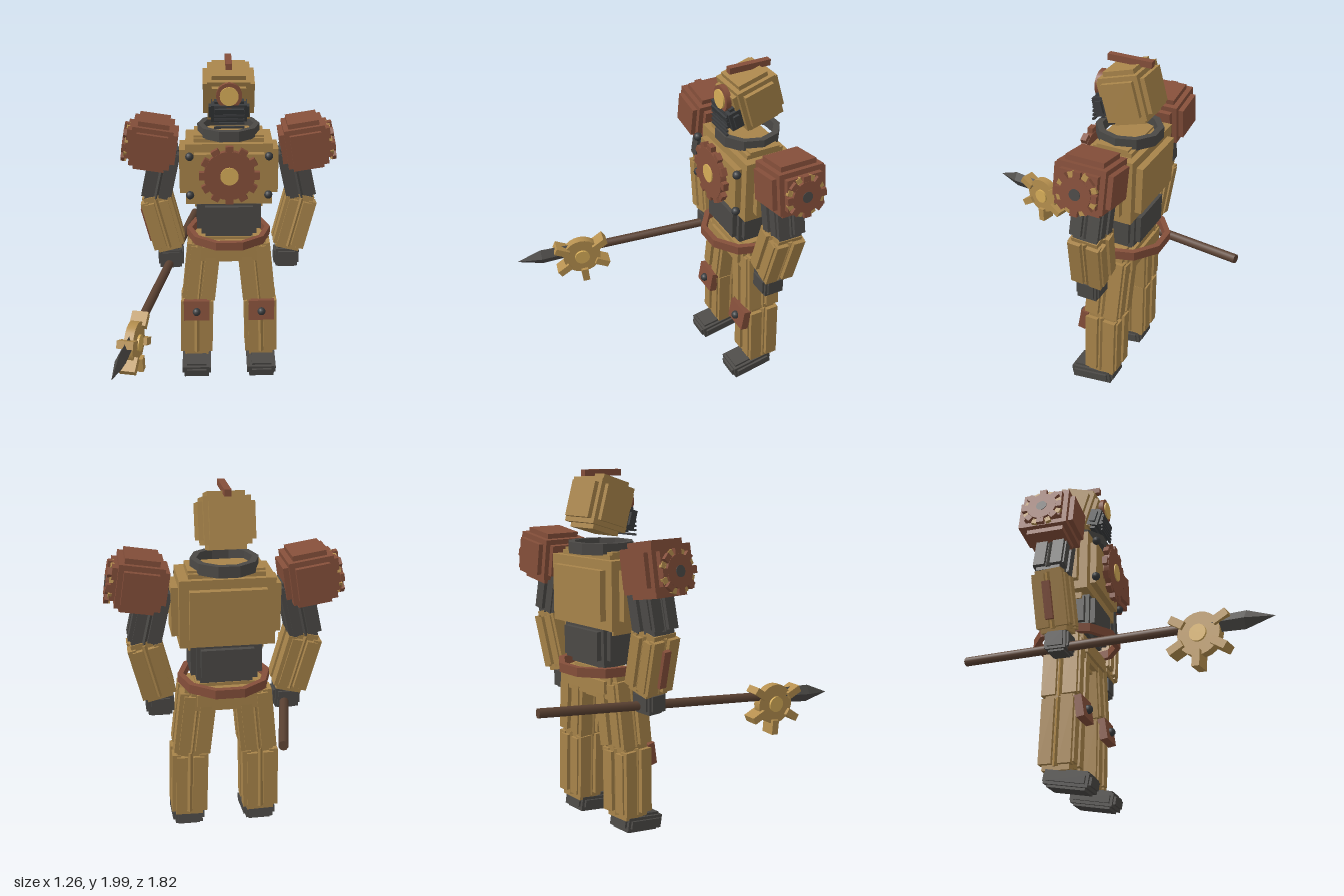
import * as THREE from 'three';

const mat = (name, color) => {
  const m = new THREE.MeshStandardMaterial({ color });
  m.name = name;
  return m;
};

export function createModel() {
  const bronze = mat('bronze', 0xa8844a);
  const brass = mat('brass', 0xb58f4e);
  const gold = mat('paleGold', 0xd6ad58);
  const copper = mat('copper', 0x854f3a);
  const iron = mat('iron', 0x4b4946);
  const black = mat('blackIron', 0x393b3d);
  const wood = mat('wood', 0x5a4132);

  const model = new THREE.Group();
  model.name = 'clockworkGuard';
  const body = new THREE.Group();
  body.name = 'body';
  body.position.x = 0.01;
  model.add(body);

  const mesh = (parent, name, geo, material, x = 0, y = 0, z = 0) => {
    const m = new THREE.Mesh(geo, material);
    m.name = name;
    m.position.set(x, y, z);
    parent.add(m);
    return m;
  };
  const group = (parent, name, x = 0, y = 0, z = 0) => {
    const g = new THREE.Group();
    g.name = name;
    g.position.set(x, y, z);
    parent.add(g);
    return g;
  };
  const box = (parent, name, w, h, d, material, x, y, z) =>
    mesh(parent, name, new THREE.BoxGeometry(w, h, d), material, x, y, z);
  const disc = (parent, name, r, t, material, x, y, z, sides = 24) =>
    mesh(parent, name, new THREE.CylinderGeometry(r, r, t, sides).rotateX(Math.PI / 2), material, x, y, z);

  // Core block with an inset raised plate on each of its six faces
  const plated = (parent, name, [w, h, d], t, inset, material, x, y, z) => {
    const g = group(parent, name, x, y, z);
    const i = inset * 2, e = t * 2;
    box(g, 'core', w, h, d, material);
    box(g, 'sidePlates', w + e, h - i, d - i, material);
    box(g, 'capPlates', w - i, h + e, d - i, material);
    box(g, 'facePlates', w - i, h - i, d + e, material);
    return g;
  };

  // Limb between two joints: core, diamond spine in the grooves, four corner bars
  const limb = (parent, name, a, b, w, d, material) => {
    const top = new THREE.Vector3(...a), low = new THREE.Vector3(...b);
    const axis = top.clone().sub(low), len = axis.length();
    const g = group(parent, name);
    g.position.copy(top).add(low).multiplyScalar(0.5);
    g.quaternion.setFromUnitVectors(new THREE.Vector3(0, 1, 0), axis.normalize());
    box(g, 'core', w * 0.76, len, d * 0.76, material);
    const spine = new THREE.CylinderGeometry(w * 0.46, w * 0.46, len * 0.9, 4).toNonIndexed();
    spine.computeVertexNormals();
    mesh(g, 'spine', spine, material);
    for (const sx of [-1, 1]) for (const sz of [-1, 1]) {
      box(g, 'cornerBar', w * 0.24, len * 0.86, d * 0.36, material, sx * w * 0.38, 0, sz * d * 0.27);
      box(g, 'faceBar', w * 0.3, len * 0.8, d * 0.24, material, sx * w * 0.23, 0, sz * d * 0.38);
    }
    return g;
  };

  // Gear facing +z
  const gear = (parent, name, r, outer, t, count, toothW, material) => {
    const g = group(parent, name);
    disc(g, 'disc', r, t, material);
    for (let k = 0; k < count; k++) {
      const a = (k / count) * Math.PI * 2, mid = (r + outer) / 2 - 0.005;
      const tooth = box(g, 'tooth', outer - r + 0.01, toothW, t * 0.9, material, Math.cos(a) * mid, Math.sin(a) * mid, 0);
      tooth.rotation.z = a;
    }
    return g;
  };

  // Ten-sided hoop of rectangular section
  const hoop = (name, r, inner, h, material, y, z) => {
    const pts = [[inner, -h / 2], [r, -h / 2], [r, h / 2], [inner, h / 2], [inner, -h / 2]];
    const geo = new THREE.LatheGeometry(pts.map(p => new THREE.Vector2(...p)), 10, Math.PI / 2).toNonIndexed();
    geo.computeVertexNormals();
    return mesh(body, name, geo, material, 0, y, z);
  };

  // Head, crest, eye and jaw
  const head = plated(body, 'head', [0.24, 0.24, 0.225], 0.025, 0.025, bronze, 0, 1.815, -0.325);
  head.rotation.x = 0.29;
  box(body, 'crest', 0.036, 0.034, 0.245, copper, 0, 1.983, -0.312);
  disc(body, 'eyeRim', 0.072, 0.03, copper, 0, 1.83, -0.16);
  disc(body, 'eyeLens', 0.052, 0.02, gold, 0, 1.83, -0.145);
  const jaw = plated(body, 'jaw', [0.2, 0.105, 0.07], 0.015, 0.018, black, 0, 1.737, -0.192);
  jaw.rotation.x = 0.29;
  for (let k = 0; k < 6; k++) box(body, 'jawSlat', 0.17, 0.011, 0.012, black, 0, 1.652 + k * 0.023, -0.147);

  // Torso
  hoop('collar', 0.18, 0.145, 0.06, iron, 1.595, -0.32);
  plated(body, 'chest', [0.5, 0.365, 0.28], 0.037, 0.05, bronze, 0, 1.363, -0.315);
  box(body, 'collarPlate', 0.4, 0.06, 0.22, bronze, 0, 1.54, -0.315);
  const heart = gear(body, 'chestGear', 0.145, 0.172, 0.035, 12, 0.045, copper);
  heart.position.set(0, 1.386, -0.097);
  disc(body, 'chestGearAxle', 0.08, 0.05, bronze, 0, 1.386, -0.13);
  disc(body, 'chestGearHub', 0.052, 0.03, gold, 0, 1.386, -0.087);
  for (const sx of [-1, 1]) for (const y of [1.254, 1.487])
    mesh(body, 'rivet', new THREE.SphereGeometry(0.024, 12, 8), black, sx * 0.225, y, -0.13);
  plated(body, 'waist', [0.325, 0.2, 0.25], 0.028, 0.022, iron, 0, 1.085, -0.315);
  hoop('belt', 0.252, 0.22, 0.05, copper, 0.95, -0.315);
  plated(body, 'pelvis', [0.38, 0.13, 0.21], 0.018, 0.03, bronze, 0, 0.858, -0.315);

  for (const s of [-1, 1]) {
    const side = s > 0 ? 'left' : 'right';
    // Arm
    const shoulder = plated(body, side + 'Shoulder', [0.235, 0.23, 0.265], 0.028, 0.028, copper, s * 0.445, 1.515, -0.32);
    shoulder.rotation.z = s * 0.16;
    const cog = group(shoulder, 'shoulderCog', s * 0.155, -0.02, 0);
    cog.rotation.y = s * Math.PI / 2;
    gear(cog, 'cogWheel', 0.085, 0.115, 0.025, 8, 0.04, copper);
    const backing = gear(cog, 'cogBacking', 0.09, 0.113, 0.02, 8, 0.03, brass);
    backing.position.z = -0.012;
    backing.rotation.z = Math.PI / 8;
    disc(cog, 'cogHub', 0.03, 0.02, iron, 0, 0, 0.005);
    limb(body, side + 'UpperArm', [s * 0.36, 1.5, -0.315], [s * 0.435, 1.17, -0.315], 0.175, 0.18, iron);
    const fore = limb(body, side + 'Forearm', [s * 0.435, 1.2, -0.315], [s * 0.35, 0.86, -0.297], 0.185, 0.195, bronze);
    if (s < 0) box(fore, 'forearmGauge', 0.025, 0.21, 0.045, copper, -0.1, -0.005, -0.005);
    plated(body, side + 'Hand', [0.13, 0.11, 0.115], 0.011, 0.014, iron, s * 0.35, 0.803, -0.287);

    // Leg
    limb(body, side + 'Thigh', [s * 0.145, 0.92, -0.32], [s * 0.19, 0.5, -0.308], 0.2, 0.22, bronze);
    limb(body, side + 'Shin', [s * 0.195, 0.54, -0.31], [s * 0.205, 0.12, -0.315], 0.2, 0.2, bronze);
    const knee = box(body, side + 'KneePlate', 0.158, 0.125, 0.045, copper, s * 0.2, 0.465, -0.195);
    knee.rotation.x = -0.16;
    mesh(body, side + 'KneeBolt', new THREE.SphereGeometry(0.025, 12, 8), black, s * 0.2, 0.465, -0.167);
    const foot = plated(body, side + 'Foot', [0.155, 0.075, 0.245], 0.013, 0.016, iron, s * 0.205, 0.074, -0.253);
    foot.rotation.x = 0.17;
  }

  // Spear: local +z runs from the tail to the tip
  const tail = new THREE.Vector3(-0.2, 0.825, -0.905), tip = new THREE.Vector3(-0.6, 0.685, 0.905);
  const length = tail.distanceTo(tip);
  const spear = group(model, 'spear');
  spear.position.copy(tail);
  spear.lookAt(tip);
  const along = (geo) => geo.rotateX(Math.PI / 2);
  mesh(spear, 'shaft', along(new THREE.CylinderGeometry(0.026, 0.026, 1.53, 10)), wood, 0, 0, 0.765);
  const profile = [[0, 0], [0.044, 0], [0.05, 0.17], [0, 0.32]].map(p => new THREE.Vector2(...p));
  const blade = new THREE.LatheGeometry(profile, 4).scale(0.6, 1, 1).toNonIndexed();
  blade.computeVertexNormals();
  mesh(spear, 'blade', along(blade), iron, 0, 0, length - 0.32);

  // Cog hanging on the spear with five broad teeth
  const wheel = group(spear, 'spearCog', 0, -0.045, 1.468);
  wheel.rotation.y = -Math.PI / 2;
  disc(wheel, 'wheel', 0.115, 0.05, brass);
  disc(wheel, 'wheelHub', 0.045, 0.075, gold);
  for (let k = 0; k < 5; k++) {
    const a = (150 + k * 60) * Math.PI / 180;
    const tooth = box(wheel, 'wheelTooth', 0.085, 0.042, 0.09, brass, Math.cos(a) * 0.135, Math.sin(a) * 0.135, 0);
    tooth.rotation.z = a;
  }
  return model;
}
